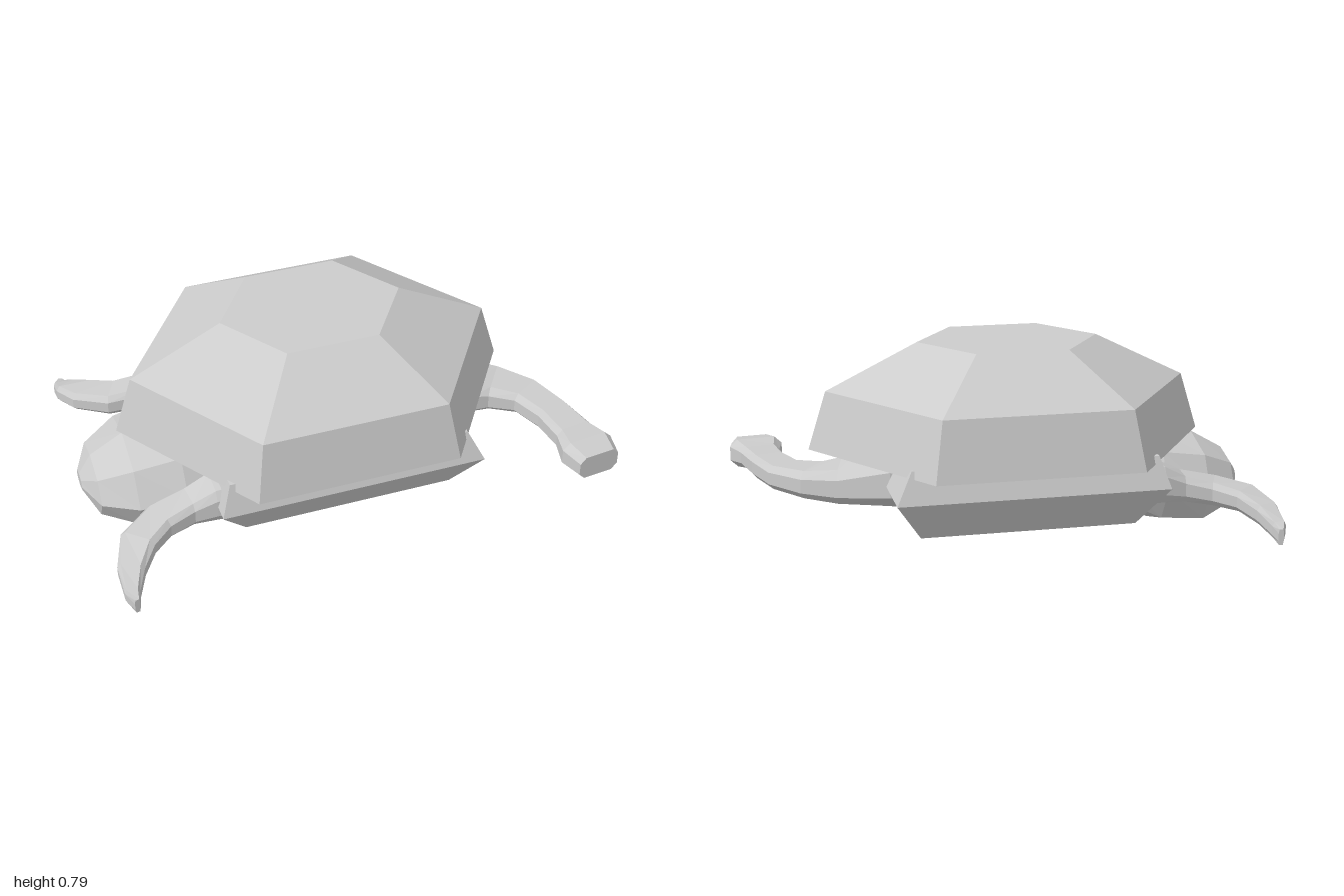
import * as THREE from 'three';

const material = new THREE.MeshStandardMaterial({ color: 0xcccccc, flatShading: true });

// Skins a list of equal-length rings and caps both ends; faces are turned outward by signed volume.
function loft(name, rings) {
  const tris = [];
  const n = rings[0].length;
  for (let i = 0; i < rings.length - 1; i++) {
    for (let j = 0; j < n; j++) {
      const k = (j + 1) % n;
      const a = rings[i][j], b = rings[i][k], c = rings[i + 1][k], d = rings[i + 1][j];
      tris.push([a, b, c], [a, c, d]);
    }
  }
  const last = rings[rings.length - 1];
  for (let j = 1; j < n - 1; j++) {
    tris.push([rings[0][0], rings[0][j + 1], rings[0][j]], [last[0], last[j], last[j + 1]]);
  }
  let volume = 0;
  for (const [a, b, c] of tris) volume += a.dot(b.clone().cross(c));
  if (volume < 0) tris.forEach((t) => t.reverse());
  const geometry = new THREE.BufferGeometry().setFromPoints(tris.flat());
  geometry.computeVertexNormals();
  const mesh = new THREE.Mesh(geometry, material);
  mesh.name = name;
  return mesh;
}

// Limb swept along stations [x, y, z, width, height] with a chamfered box section.
function limb(name, stations) {
  const centres = stations.map(([x, y, z]) => new THREE.Vector3(x, y, z));
  const section = [[1, .5], [.72, 1], [-.72, 1], [-1, .5], [-1, -.5], [-.72, -1], [.72, -1], [1, -.5]];
  const rings = stations.map(([, , , w, h], i) => {
    const from = centres[Math.max(i - 1, 0)];
    const to = centres[Math.min(i + 1, centres.length - 1)];
    const dir = to.clone().sub(from).setY(0).normalize();
    const side = new THREE.Vector3(-dir.z, 0, dir.x);
    return section.map(([u, v]) => {
      const p = centres[i].clone().addScaledVector(side, u * w / 2);
      p.y += v * h / 2;
      return p;
    });
  });
  return loft(name, rings);
}

export function createModel() {
  const model = new THREE.Group();

  // Hexagonal domed shell: [height, radius]
  const shell = [[.39, .78], [.615, .71], [.79, .355]].map(([y, r]) =>
    Array.from({ length: 6 }, (_, i) => {
      const a = i * Math.PI / 3;
      return new THREE.Vector3(-.06 + r * Math.cos(a), y, r * .853 * Math.sin(a));
    }));
  model.add(loft('shell', shell));

  // Low-poly head: [x, bottom, top, half width]
  const head = [
    [-1, .16, .22, .05], [-.95, .065, .3, .17], [-.82, .005, .375, .25],
    [-.64, .025, .405, .275], [-.46, .12, .4, .22], [-.36, .2, .4, .16],
  ].map(([x, low, high, w]) => Array.from({ length: 8 }, (_, i) => {
    const a = i * Math.PI / 4;
    return new THREE.Vector3(x, (low + high) / 2 + Math.cos(a) * (high - low) / 2, Math.sin(a) * w);
  }));
  model.add(loft('head', head));

  for (const s of [1, -1]) {
    const sideName = s > 0 ? 'left' : 'right';

    // Long chamfered block under each side: [y, x min, x max, inner z, outer z]
    const block = [
      [.145, -.46, .36, .215, .42], [.3, -.57, .46, .255, .515], [.42, -.53, .4, .25, .475],
    ].map(([y, x0, x1, z0, z1]) => [[x0, z0], [x1, z0], [x1, z1], [x0, z1]]
      .map(([x, z]) => new THREE.Vector3(x, y, s * z)));
    model.add(loft(sideName + 'SideBlock', block));

    // Curved arm beside the head
    model.add(limb(sideName + 'Arm', [
      [-.45, .3, .37, .18, .16], [-.57, .29, .37, .15, .14], [-.66, .265, .367, .13, .1],
      [-.78, .245, .39, .14, .09], [-.88, .23, .465, .14, .08], [-.93, .195, .56, .1, .075],
      [-.947, .155, .64, .055, .065], [-.94, .14, .68, .02, .06],
    ].map(([x, y, z, w, h]) => [x, y, s * z, w, h])));
  }

  // Tail curving forward from the opposite end, finishing in a blunt tip
  model.add(limb('tail', [
    [.3, .3, 0, .5, .24], [.43, .295, 0, .46, .2], [.6, .255, .015, .25, .135],
    [.7, .25, .06, .2, .11], [.8, .25, .155, .16, .095], [.85, .25, .3, .145, .095],
    [.875, .25, .44, .16, .09], [.885, .245, .53, .215, .115], [.895, .24, .62, .17, .1],
  ]));

  return model;
}
